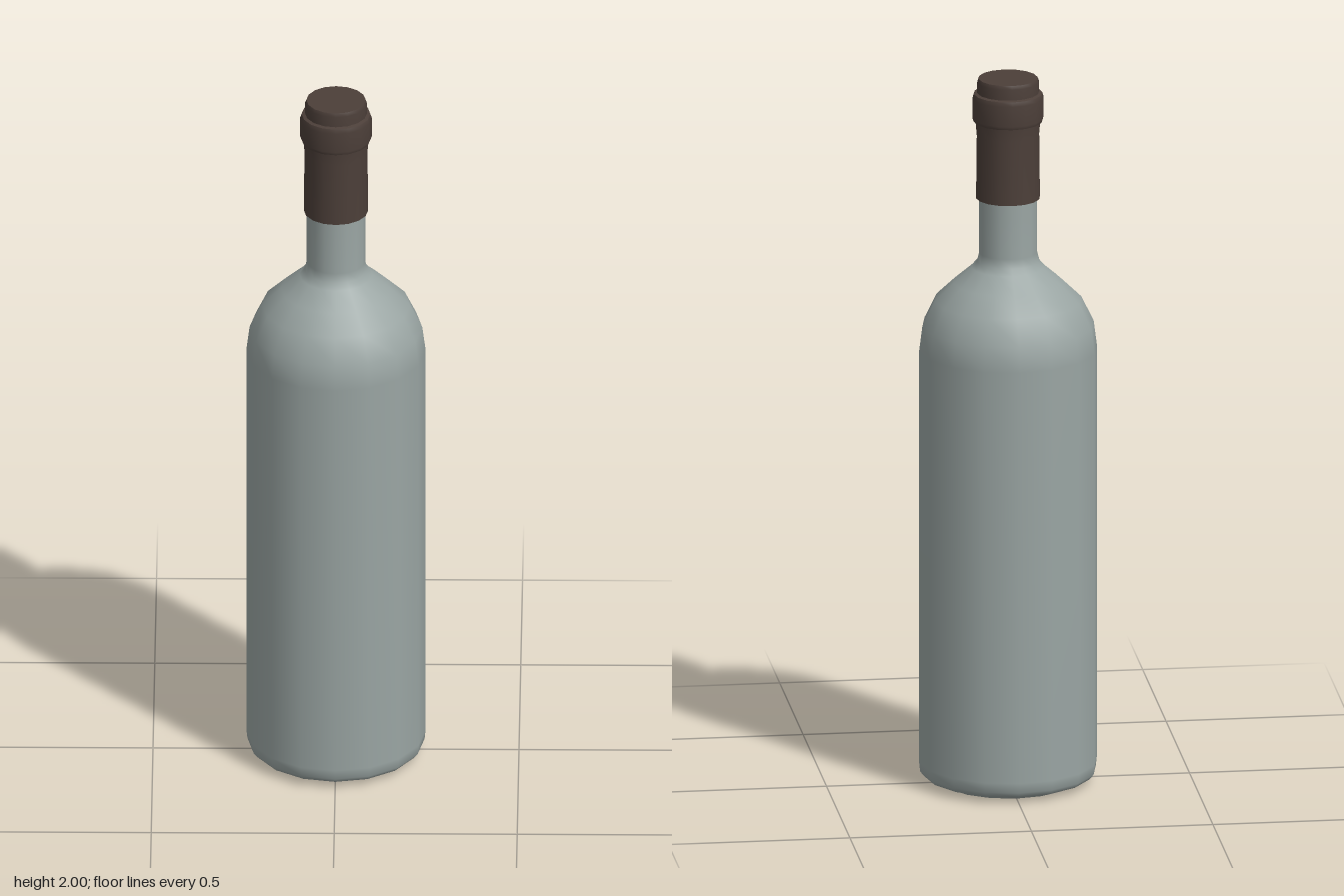
import * as THREE from 'three';

const SIDES = 16;

export function createModel() {
  const glass = new THREE.MeshStandardMaterial({ color: 0x9aa5a3 });
  glass.name = 'grey green glass';
  const foil = new THREE.MeshStandardMaterial({ color: 0x4c3f39 });
  foil.name = 'dark brown foil';

  const bottle = new THREE.Group();
  bottle.name = 'bottle';

  // Turns a profile of [radius, height] points, listed from bottom to top on the outside
  function turn(name, material, points) {
    const profile = points.map(([r, y]) => new THREE.Vector2(r, y));
    const mesh = new THREE.Mesh(new THREE.LatheGeometry(profile, SIDES), material);
    mesh.name = name;
    bottle.add(mesh);
  }

  // Hollow under the base
  turn('puntTop', glass, [[0, 0.1], [0.13, 0.1]]);
  turn('puntWall', glass, [[0.13, 0.1], [0.155, 0.05], [0.175, 0.012], [0.19, 0.005]]);

  // Base rim, straight body, shoulder and neck
  turn('body', glass, [
    [0.175, 0.005], [0.19, 0.005], [0.23, 0.018], [0.242, 0.032], [0.245, 0.06],
    [0.245, 1.23], [0.236, 1.3], [0.202, 1.37], [0.15, 1.42],
    [0.1, 1.463], [0.086, 1.48], [0.08, 1.505], [0.08, 1.68],
  ]);

  // Foil sleeve with its open lower edge
  turn('sleeveEdge', foil, [[0.078, 1.66], [0.088, 1.66]]);
  turn('sleeve', foil, [[0.088, 1.66], [0.086, 1.84], [0.09, 1.885]]);

  // Raised lip
  turn('lipUnderside', foil, [[0.084, 1.876], [0.094, 1.878]]);
  turn('lip', foil, [[0.094, 1.878], [0.098, 1.888], [0.098, 1.945], [0.094, 1.957]]);
  turn('lipTop', foil, [[0.094, 1.957], [0.084, 1.96]]);

  // Cap end
  turn('capSide', foil, [[0.085, 1.95], [0.085, 1.99], [0.081, 2]]);
  turn('capTop', foil, [[0.081, 2], [0, 2]]);

  // Lowest ring that the bottle stands on
  turn('footRing', glass, [[0.178, 0.006], [0.184, 0], [0.19, 0.005]]);

  return bottle;
}
